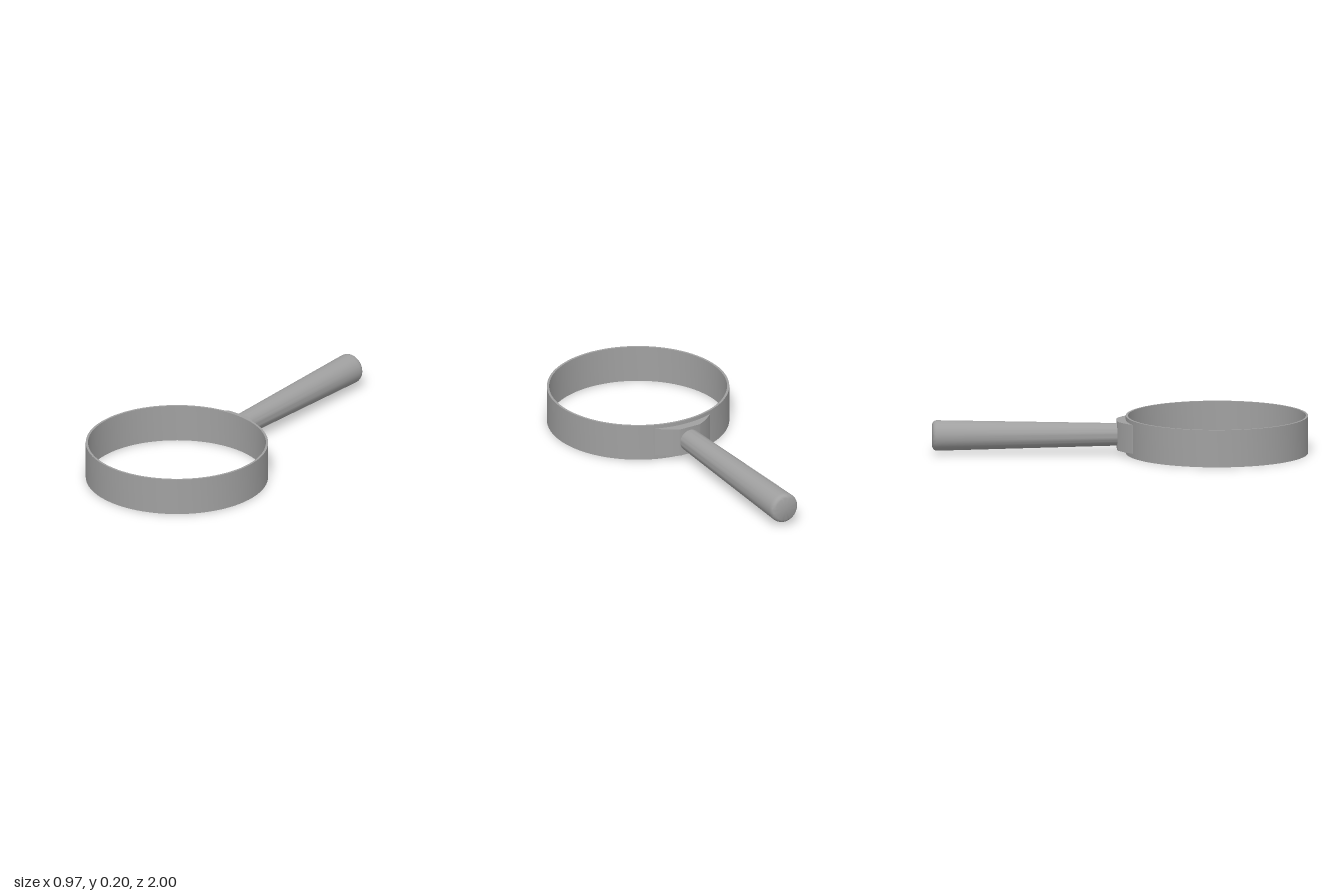
import * as THREE from 'three';
import { toCreasedNormals } from 'three/addons/utils/BufferGeometryUtils.js';

const RING_Z = 0.515, OUTER = 0.485, INNER = 0.473, HEIGHT = 0.2, MID_Y = 0.102;

// Turned part from [radius, height] pairs, with sharp edges kept
function turned(points, segments) {
  const profile = points.map(([r, y]) => new THREE.Vector2(r, y));
  return toCreasedNormals(new THREE.LatheGeometry(profile, segments), 0.5);
}

export function createModel() {
  const group = new THREE.Group();
  const metal = new THREE.MeshStandardMaterial({ color: 0xa0a0a0 });
  metal.name = 'grey metal';

  const add = (name, geometry) => {
    const mesh = new THREE.Mesh(geometry, metal);
    mesh.name = name;
    group.add(mesh);
    return mesh;
  };

  // Thin open ring
  const ring = add('ring', turned(
    [[INNER, 0], [OUTER, 0], [OUTER, HEIGHT], [INNER, HEIGHT], [INNER, 0]], 96));
  ring.position.z = RING_Z;

  // Flared bracket hugging the back of the ring
  const seat = 0.48, half = Math.asin(0.17 / seat);
  const outline = new THREE.Shape();
  outline.moveTo(0.17, -0.06);
  outline.quadraticCurveTo(0.12, -0.01, 0.06, 0.017);
  outline.lineTo(-0.06, 0.017);
  outline.quadraticCurveTo(-0.12, -0.01, -0.17, -0.06);
  outline.absarc(0, -RING_Z, seat, Math.PI / 2 + half, Math.PI / 2 - half, true);
  const bracket = add('bracket', toCreasedNormals(new THREE.ExtrudeGeometry(outline, {
    depth: 0.155, bevelEnabled: false, curveSegments: 16,
  }), 0.5));
  bracket.rotation.x = -Math.PI / 2;
  bracket.position.y = MID_Y - 0.0775;

  // Handle widening towards its rounded end
  const handle = add('handle', turned([
    [0, -0.02], [0.059, -0.02], [0.06, 0.02], [0.081, 0.965],
    [0.081, 0.978], [0.078, 0.988], [0.072, 0.995], [0.064, 0.999], [0, 1],
  ], 48));
  handle.rotation.x = -Math.PI / 2;
  handle.position.y = MID_Y;

  return group;
}
